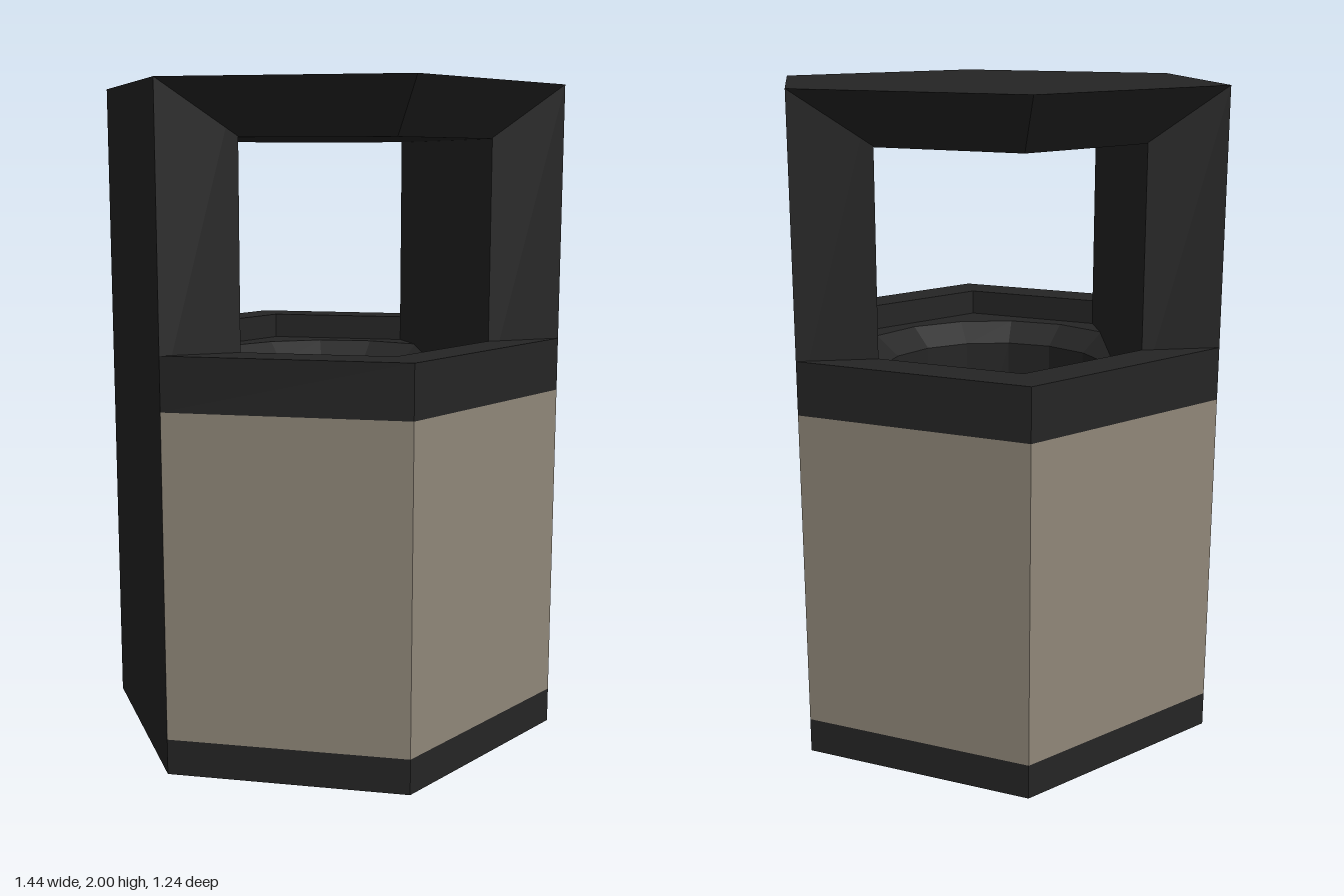
import * as THREE from 'three';

const R = 0.718, INNER = 0.58;          // outer and inner hexagon radii
const APOTHEM = R * Math.cos(Math.PI / 6);
const STEP = Math.PI / 3;

export function createModel() {
  const group = new THREE.Group();
  const opts = { flatShading: true, side: THREE.DoubleSide };
  const dark = new THREE.MeshStandardMaterial({ name: 'charcoal metal', color: 0x252525, ...opts });
  const beige = new THREE.MeshStandardMaterial({ name: 'beige cladding', color: 0x908779, ...opts });

  function add(name, geometry, material, y = 0) {
    const mesh = new THREE.Mesh(geometry, material);
    mesh.name = name;
    mesh.position.y = y;
    group.add(mesh);
    return mesh;
  }

  // Thin wall covering `count` hexagon sides, starting at side `first`
  function wall(name, material, first, count, y0, y1, radius = R) {
    const g = new THREE.CylinderGeometry(radius, radius, y1 - y0, count, 1, true,
      STEP / 2 + first * STEP, count * STEP);
    return add(name, g, material, (y0 + y1) / 2);
  }

  // Two mirrored halves: a full-height panel and two clad sides each
  for (const first of [0, 3]) {
    wall('baseBand', dark, first + 1, 2, 0, 0.107);
    wall('cladding', beige, first + 1, 2, 0.107, 1.08);
    wall('upperBand', dark, first + 1, 2, 1.08, 1.24);
    wall('sidePanel', dark, first, 1, 0, 1.1);

    // Thick post that carries the roof
    const angle = (first + 1) * STEP;
    const post = add('roofPost', new THREE.BoxGeometry(R, 0.9, 0.235), dark, 1.55);
    post.rotation.y = angle;
    post.position.x = Math.sin(angle) * (APOTHEM - 0.1175);
    post.position.z = Math.cos(angle) * (APOTHEM - 0.1175);
  }

  // Roof with a sloped underside
  add('roof', new THREE.CylinderGeometry(R, INNER, 0.16, 6, 1, false, STEP / 2), dark, 1.92);

  // Flat rim and the short wall down to the sunken lid
  add('rim', new THREE.RingGeometry(INNER, R, 6, 1).rotateX(-Math.PI / 2), dark, 1.24);
  wall('rimInnerWall', dark, 0, 6, 1.16, 1.24, INNER);

  // Sunken lid with a round opening
  const lid = new THREE.Shape();
  for (let i = 0; i < 6; i++) {
    const x = INNER * Math.cos(i * STEP), y = INNER * Math.sin(i * STEP);
    if (i) lid.lineTo(x, y); else lid.moveTo(x, y);
  }
  lid.closePath();
  const hole = new THREE.Path();
  hole.absarc(0, 0, 0.45, 0, Math.PI * 2, true);
  lid.holes.push(hole);
  add('lid', new THREE.ShapeGeometry(lid, 8).rotateX(-Math.PI / 2), dark, 1.16);

  // Funnel and bin below the opening
  const profile = [[0.37, 0.57], [0.37, 1.1], [0.45, 1.16]].map(p => new THREE.Vector2(...p));
  add('funnel', new THREE.LatheGeometry(profile, 16), dark);

  // Raised floor inside the hollow body
  add('binFloor', new THREE.CircleGeometry(R - 0.004, 6).rotateX(-Math.PI / 2), dark, 0.56);

  return group;
}
